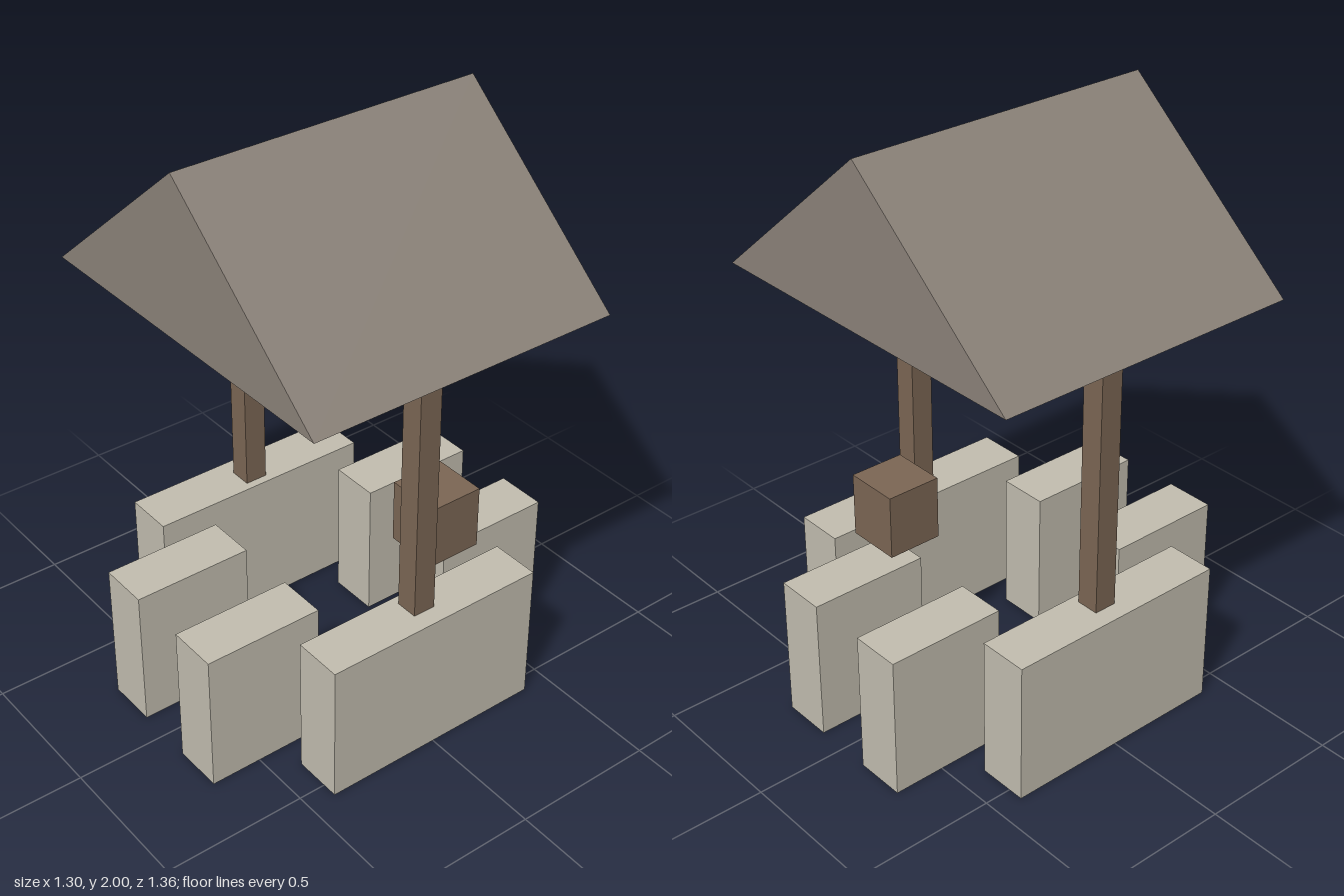
import * as THREE from 'three';

export function createModel() {
  const model = new THREE.Group();
  model.name = 'well';

  const material = (name, color, side = THREE.FrontSide) => {
    const m = new THREE.MeshStandardMaterial({ color, side });
    m.name = name;
    return m;
  };
  const stone = material('stone', 0xc2bdaf);
  const wood = material('wood', 0x7b6654);
  const iron = material('iron', 0x5b5a65);
  const shingle = material('shingle', 0x8b8279, THREE.DoubleSide);

  // Box given by its extents along each axis
  const box = (name, mat, [x0, x1], [y0, y1], [z0, z1]) => {
    const mesh = new THREE.Mesh(new THREE.BoxGeometry(x1 - x0, y1 - y0, z1 - z0), mat);
    mesh.position.set((x0 + x1) / 2, (y0 + y1) / 2, (z0 + z1) / 2);
    mesh.name = name;
    model.add(mesh);
  };
  const span = (center, size) => [center - size / 2, center + size / 2];

  for (const sx of [1, -1]) {
    const side = sx > 0 ? 'left' : 'right';
    // Long side stones and the posts standing on them
    box(`${side}SideStone`, stone, span(sx * 0.467, 0.175), [0, 0.5], [-0.405, 0.405]);
    box(`${side}Post`, wood, span(sx * 0.45, 0.08), [0.5, 1.455], [-0.04, 0.04]);
    // Shorter stones at the front and back
    for (const sz of [1, -1]) {
      const end = sz > 0 ? 'Front' : 'Back';
      box(`${side}${end}Stone`, stone, span(sx * 0.194, 0.177), [0, 0.5], span(sz * 0.47, 0.42));
    }
  }

  // Crossbeam, winding roller and bucket
  box('crossbeam', wood, [-0.41, 0.41], [1.365, 1.44], [-0.04, 0.04]);
  box('roller', iron, [-0.225, 0.225], [1.155, 1.25], [-0.05, 0.05]);
  box('bucket', wood, [0.15, 0.345], [0.515, 0.74], [-0.345, -0.15]);

  // Gabled roof shell, open underneath
  const w = 0.648, d = 0.55, eave = 1.455, ridge = 2;
  const [fl, fr, ft] = [[w, eave, d], [-w, eave, d], [0, ridge, d]];
  const [bl, br, bt] = [fl, fr, ft].map(([x, y, z]) => [x, y, -z]);
  const faces = [
    [fr, fl, ft], [bl, br, bt],       // gables
    [fl, bl, bt], [fl, bt, ft],       // left slope
    [br, fr, ft], [br, ft, bt],       // right slope
  ];
  const geometry = new THREE.BufferGeometry();
  geometry.setAttribute('position', new THREE.Float32BufferAttribute(faces.flat(2), 3));
  geometry.computeVertexNormals();
  const roof = new THREE.Mesh(geometry, shingle);
  roof.name = 'roof';
  model.add(roof);

  return model;
}
